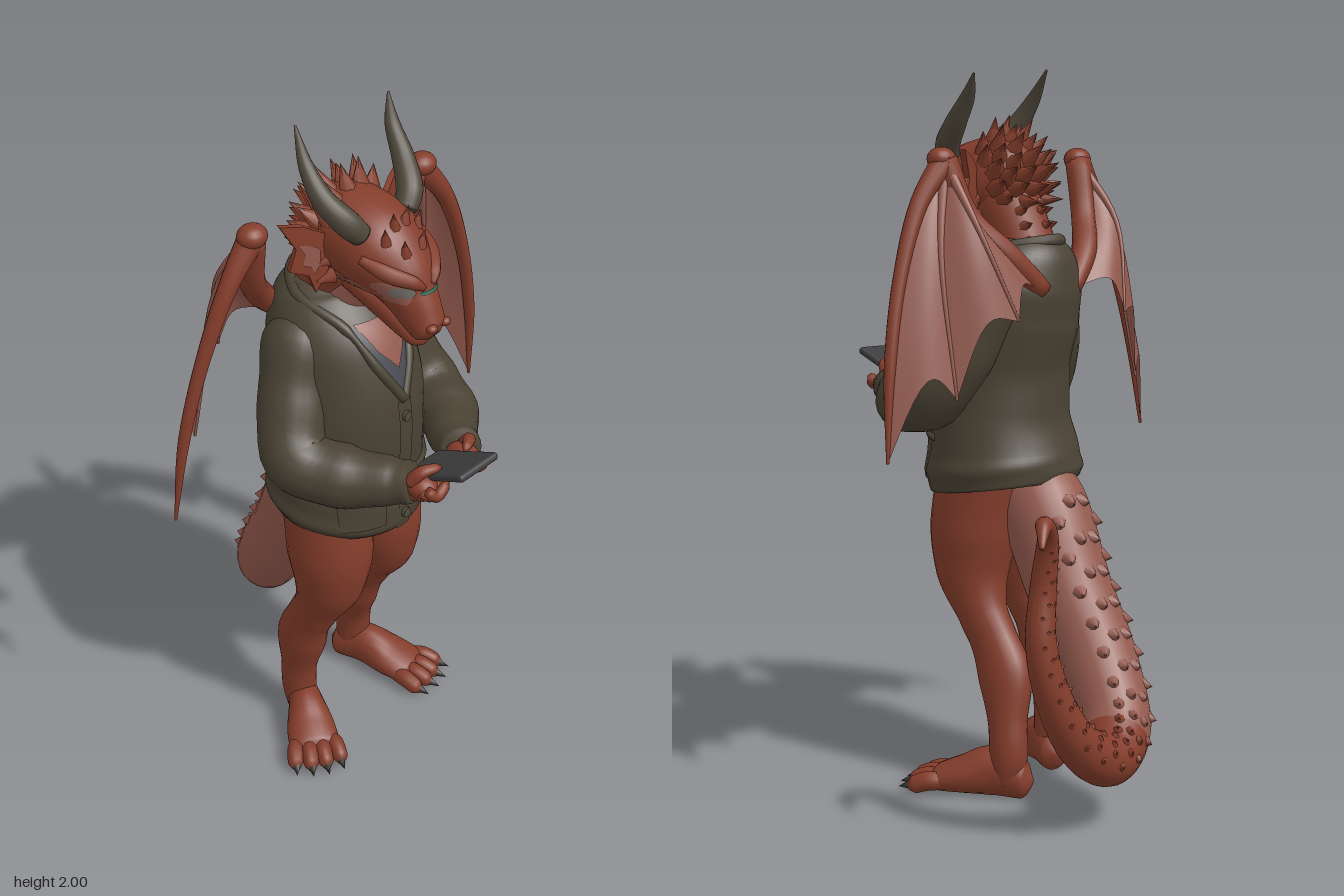
import * as THREE from 'three';
import { RoundedBoxGeometry } from 'three/addons/geometries/RoundedBoxGeometry.js';

const V = (x, y, z) => new THREE.Vector3(x, y, z);
const mat = (name, color, side = THREE.FrontSide) => {
  const m = new THREE.MeshStandardMaterial({ color, side });
  m.name = name;
  return m;
};
const CX = -0.05; // body midline

export function createModel() {
  const root = new THREE.Group();
  root.name = 'dragon';
  const skin = mat('red skin', 0x843d2b);
  const pink = mat('pink membrane', 0x935a4e, THREE.DoubleSide);
  const wool = mat('olive wool', 0x4a4234);
  const horn = mat('horn', 0x4f483b);
  const claw = mat('claw', 0x38362f);
  const device = mat('dark grey', 0x3d3d3f);
  const shirt = mat('shirt grey', 0x474b52);
  const eye = mat('eye grey', 0x6f6a64);
  const teal = mat('teal', 0x2b6657);

  const add = (geo, material, name, parent = root) => {
    const m = new THREE.Mesh(geo, material);
    m.name = name;
    parent.add(m);
    return m;
  };
  const curve = pts => new THREE.CatmullRomCurve3(pts.map(p => V(p[0], p[1], p[2])));

  // Smooth body along rows of [x, y, z, radiusA, radiusB]
  function sweep(rows, material, name, o = {}) {
    const seg = o.seg || 20, n = (rows.length - 1) * (o.sub || 6);
    const path = curve(rows), rad = curve(rows.map(r => [r[3], r[4] ?? r[3], 0]));
    const pos = [], idx = [];
    const A = V(...(o.side || [1, 0, 0])), B = V();
    for (let i = 0; i <= n; i++) {
      const t = i / n, p = path.getPoint(t), r = rad.getPoint(t), T = path.getTangent(t);
      A.addScaledVector(T, -A.dot(T)).normalize();
      B.crossVectors(T, A);
      for (let j = 0; j < seg; j++) {
        const a = j / seg * Math.PI * 2, k = o.ripple ? o.ripple(t, a) : 1;
        const q = p.clone().addScaledVector(A, r.x * k * Math.cos(a)).addScaledVector(B, r.y * k * Math.sin(a));
        pos.push(q.x, q.y, q.z);
      }
    }
    for (let i = 0; i < n; i++) for (let j = 0; j < seg; j++) {
      const a = i * seg + j, b = i * seg + (j + 1) % seg;
      idx.push(a, b, a + seg, b, b + seg, a + seg);
    }
    const body = idx.length, s = pos.length / 3, e = n * seg;
    pos.push(...path.getPoint(0).toArray(), ...path.getPoint(1).toArray());
    for (let j = 0; j < seg; j++) {
      const k = (j + 1) % seg;
      idx.push(s, k, j, s + 1, e + j, e + k);
    }
    const g = new THREE.BufferGeometry();
    g.setAttribute('position', new THREE.Float32BufferAttribute(pos, 3));
    g.setIndex(idx);
    g.computeVertexNormals();
    if (o.split) {
      const cut = Math.round(n * o.split) * seg * 6;
      g.addGroup(0, cut, 0);
      g.addGroup(cut, body + seg * 6 - cut, 1);
    }
    return add(g, material, name, o.parent);
  }

  // Sheet from fn(u, v)
  function sheet(fn, nu, nv, material, name) {
    const pos = [], idx = [];
    for (let i = 0; i <= nv; i++) for (let j = 0; j <= nu; j++) pos.push(...fn(j / nu, i / nv).toArray());
    for (let i = 0; i < nv; i++) for (let j = 0; j < nu; j++) {
      const a = i * (nu + 1) + j, c = a + nu + 1;
      idx.push(a, a + 1, c, a + 1, c + 1, c);
    }
    const g = new THREE.BufferGeometry();
    g.setAttribute('position', new THREE.Float32BufferAttribute(pos, 3));
    g.setIndex(idx);
    g.computeVertexNormals();
    return add(g, material, name);
  }

  // Front surface depth of a mesh, and thin patches laid on it; rows are [y, x0, x1], bottom to top
  const ray = new THREE.Raycaster();
  const front = (mesh, x, y) => {
    ray.set(V(x, y, 2), V(0, 0, -1));
    const hit = ray.intersectObject(mesh)[0];
    return hit ? hit.point.z : 0.05;
  };
  const patch = (rows, mesh, lift, material, name) => sheet((u, v) => {
    const f = v * (rows.length - 1), i = Math.min(Math.floor(f), rows.length - 2), k = f - i;
    const [y, x0, x1] = rows[i].map((c, q) => c + (rows[i + 1][q] - c) * k);
    const x = x0 + (x1 - x0) * u;
    return V(x, y, front(mesh, x, y) + lift);
  }, 8, (rows.length - 1) * 5, material, name);

  const spike = (p, dir, r, h, material, name, parent) => {
    const m = add(new THREE.ConeGeometry(r, h, 7).translate(0, h * 0.4, 0), material, name, parent);
    m.position.copy(p);
    m.quaternion.setFromUnitVectors(V(0, 1, 0), dir.clone().normalize());
    return m;
  };
  const ball = (p, s, material, name, parent) => {
    const m = add(new THREE.SphereGeometry(1, 18, 12), material, name, parent);
    m.position.set(...p);
    m.scale.set(...s);
    return m;
  };

  // Sweater
  const torso = sweep([[CX, .85, .035, .218, .208], [CX, .89, .04, .232, .218], [CX, .94, .045, .225, .208],
    [CX, 1.05, .055, .208, .193], [CX, 1.2, .055, .205, .195], [CX, 1.34, .015, .2, .188],
    [CX, 1.43, -.02, .185, .165], [CX, 1.5, -.04, .145, .13], [CX, 1.54, -.045, .095, .09]], wool, 'sweater',
  { seg: 36, ripple: (t, a) => 1 + .012 * Math.sin(t * 34 + 2 * Math.cos(a)) * (1 - t) });
  patch([[1.25, CX, CX], [1.35, -.11, .01], [1.46, -.14, .045]], torso, .004, shirt, 'shirt');
  patch([[1.34, CX, CX], [1.4, -.1, 0], [1.47, -.13, .035]], torso, .008, pink, 'bare chest');
  const edge = s => [[1.25, 0], [1.36, .062], [1.46, .098]].map(([y, d]) =>
    [CX + s * d, y, front(torso, CX + s * d, y) + .002, .014]);
  sweep([...edge(-1), [CX - .115, 1.515, -.03, .016], [CX, 1.535, -.13, .018], [CX + .115, 1.515, -.03, .016],
    ...edge(1).reverse()], wool, 'collar', { seg: 10, side: [0, 0, 1] });
  patch([[.83, -.075, -.025], [1.25, -.075, -.025]], torso, .005, wool, 'button band');
  for (const y of [.88, .98, 1.2]) {
    const b = add(new THREE.CylinderGeometry(.015, .015, .01, 14).rotateX(Math.PI / 2), horn, 'button');
    b.position.set(CX, y, front(torso, CX, y) + .006);
  }
  for (const s of [-1, 1]) {
    const x = CX + s * .125;
    patch([[.87, x - .055, x + .055], [.99, x - .06, x + .06]], torso, .006, wool, 'pocket');
    sweep([-.062, 0, .062].map(d => [x + d, .99, front(torso, x + d, .99) + .002, .01]), wool, 'pocketEdge',
      { seg: 8, side: [0, 1, 0] });
  }

  // Sleeves, hands and held device
  const fold = { ripple: t => 1 + .025 * Math.sin(t * 40) };
  const arms = { right: [[-.13, 1.44, -.03, .05], [-.175, 1.385, -.01, .1], [-.24, 1.25, .025, .095], [-.298, 1.12, .09, .093],
    [-.25, 1.09, .21, .086], [-.195, 1.1, .32, .066], [-.17, 1.11, .38, .055]],
  left: [[.06, 1.44, -.03, .05], [.12, 1.385, -.01, .1], [.165, 1.25, .03, .095], [.2, 1.12, .11, .093],
    [.155, 1.09, .23, .086], [.07, 1.1, .32, .066], [.03, 1.11, .38, .055]] };
  for (const side in arms) {
    sweep(arms[side], wool, side + 'Sleeve', fold);
    const s = side === 'right' ? -1 : 1, hx = s < 0 ? -.165 : .0;
    ball([hx + s * .005, 1.115, .405], [.04, .034, .05], skin, side + 'Palm');
    for (let i = 0; i < 4; i++) {
      const z = .385 + i * .022, y = 1.1 + i * .01;
      sweep([[hx + s * .03, y, z, .014], [hx + s * .01, y - .022, z + .012, .016], [hx - s * .025, y - .01, z + .01, .014],
        [hx - s * .04, y, z + .005, .006]], skin, side + 'Finger', { seg: 8, sub: 3, side: [0, 0, 1] });
    }
    sweep([[hx + s * .03, 1.13, .39, .02], [hx + s * .015, 1.165, .415, .018], [hx - s * .02, 1.17, .435, .013],
      [hx - s * .035, 1.168, .44, .004]], skin, side + 'Thumb', { seg: 10, side: [0, 0, 1] });
  }
  const phone = add(new RoundedBoxGeometry(.145, .022, .225, 3, .01), device, 'handheldDevice');
  phone.position.set(-.092, 1.15, .44);
  phone.rotation.set(-.45, -.05, 0);

  // Pelvis, legs, feet
  ball([CX, .87, .04], [.19, .12, .15], skin, 'pelvis');
  const legs = { right: [[-.15, .9, .05, .11, .13], [-.158, .74, .075, .115, .13], [-.165, .61, .075, .093, .108],
    [-.172, .5, .04, .064, .072], [-.172, .43, .005, .058, .07], [-.165, .34, -.03, .063, .08], [-.16, .21, -.05, .05, .056],
    [-.155, .12, -.055, .05, .054], [-.15, .05, -.05, .045]],
  left: [[.05, .9, .05, .11, .13], [.055, .74, .07, .115, .13], [.07, .61, .065, .093, .108],
    [.088, .5, .02, .066, .072], [.093, .43, -.02, .058, .07], [.105, .34, -.065, .062, .08], [.135, .21, -.095, .05, .056],
    [.145, .12, -.105, .05, .054], [.14, .05, -.1, .045]] };
  for (const side in legs) {
    sweep(legs[side], skin, side + 'Leg', { seg: 24 });
    const foot = new THREE.Group(), right = side === 'right';
    foot.name = side + 'Foot';
    foot.position.set(right ? -.15 : .14, 0, right ? -.045 : -.1);
    foot.rotation.y = right ? -.64 : .25;
    foot.scale.set(.88, 1, right ? .9 : .95);
    root.add(foot);
    const o = { parent: foot };
    sweep([[0, .055, -.075, .01], [0, .056, -.05, .05, .052], [0, .075, .04, .058, .07], [0, .056, .14, .082, .052],
      [0, .042, .21, .084, .036], [0, .035, .235, .05, .015]], skin, 'sole', o);
    for (let i = 0; i < 4; i++) {
      const x = -.069 + i * .046, l = .02 * Math.cos(x * 20);
      sweep([[x * .8, .04, .17, .02], [x, .044, .22 + l, .028], [x * 1.1, .032, .26 + l, .026], [x * 1.1, .024, .28 + l, .012]],
        skin, 'toe', { seg: 12, parent: foot });
      spike(V(x * 1.1, .03, .272 + l), V(x, -.12, .6), .017, .045, claw, 'claw', foot);
    }
  }

  // Tail with rows of scales
  const tailRows = [[CX, .9, -.03, .1], [-.03, .78, -.11, .125], [0, .58, -.21, .118], [.03, .4, -.32, .11], [.1, .25, -.42, .096],
    [.21, .2, -.46, .078], [.33, .26, -.45, .06], [.415, .4, -.425, .048], [.445, .55, -.405, .04], [.425, .7, -.4, .034],
    [.445, .82, -.425, .027], [.51, .865, -.455, .022], [.565, .82, -.485, .007]];
  sweep(tailRows, [pink, skin], 'tail', { seg: 24, split: .36 });
  const tailPath = curve(tailRows), tailRad = curve(tailRows.map(r => [r[3], 0, 0]));
  for (let i = 0; i < 20; i++) for (const k of [-1.5, -.5, .5, 1.5]) {
    const t = .09 + i * .037 + (Math.abs(k) > 1 ? .018 : 0), T = tailPath.getTangent(t), r = tailRad.getPoint(t).x;
    const n = V(.15, .6, -1);
    n.addScaledVector(T, -n.dot(T)).normalize().applyAxisAngle(T, k * .42);
    spike(tailPath.getPoint(t).addScaledVector(n, r * .95), n.clone().addScaledVector(T, .6),
      r * .2, r * .27, t < .36 ? pink : skin, 'tailScale');
  }

  // Neck and head
  sweep([[CX, 1.42, -.05, .1], [CX, 1.54, -.01, .092], [CX, 1.64, .04, .1], [CX, 1.72, .07, .08]], skin, 'neck');
  sweep([[CX, 1.4, .02, .075], [CX, 1.5, .045, .075], [CX, 1.57, .1, .062]], pink, 'throat');
  const head = sweep([[CX, 1.69, -.045, .02], [CX, 1.7, -.01, .09, .095], [CX, 1.7, .06, .118, .12], [CX, 1.68, .15, .122, .115],
    [CX, 1.63, .22, .096, .092], [CX, 1.575, .265, .066, .07], [CX, 1.53, .3, .054, .058], [CX, 1.5, .328, .046, .044],
    [CX, 1.49, .34, .018, .018]], skin, 'head', { seg: 28 });
  sweep([[CX, 1.59, .1, .08, .055], [CX, 1.54, .19, .065, .052], [CX, 1.49, .26, .048, .038], [CX, 1.465, .295, .036, .026],
    [CX, 1.458, .312, .01]], skin, 'jaw');
  for (const s of [-1, 1]) {
    const at = (d, y, r, lift = 0) => [CX + s * d, y, front(head, CX + s * d, y) + lift, r];
    const strip = (rows, lift, m, name) => patch(rows.map(([y, d, w]) =>
      [y, CX + s * d - w, CX + s * d + w]), head, lift, m, name);
    strip([[1.585, .066, .008], [1.6, .07, .02], [1.635, .07, .03], [1.645, .074, .02]], .003, pink, 'eyelid');
    strip([[1.606, .063, .012], [1.62, .063, .022], [1.634, .063, .016]], .006, eye, 'eye');
    sweep([at(.016, 1.625, .008), at(.04, 1.645, .018), at(.08, 1.668, .022), at(.112, 1.7, .012)], skin, 'brow', { seg: 10, side: [0, 1, 0] });
    ball(at(.026, 1.525, 0).slice(0, 3), [.016, .012, .014], skin, 'nostril');
    for (const [d, y] of [[.03, 1.71], [.06, 1.74], [.02, 1.765]])
      spike(V(...at(d, y, 0, -.004)), V(s * .2, 1, .1), .016, .05, skin, 'browSpike');
    // Horns
    const tip = s < 0 ? [-.17, 2, -.02, .003] : [.155, 1.98, 0, .003];
    sweep([[CX + s * .085, 1.75, .165, .03], [CX + s * .118, 1.79, .15, .035], [CX + s * .15, 1.85, .1, .03],
      [CX + s * .16 + .01, 1.92, .045, .02], tip], horn, 'horn', { seg: 16 });
    // Finned ears
    const fin = k => new THREE.Shape([[0, -.04], [.035, -.1], [.055, -.045], [.11, -.02], [.09, .04], [.135, .115], [.07, .1], [0, .06]]
      .map(([x, y]) => new THREE.Vector2(s * (.045 + (x - .045) * k), y * k)));
    const ear = new THREE.Group();
    ear.name = 'ear';
    ear.position.set(CX + s * .1, 1.665, .06);
    ear.rotation.y = s * .35;
    root.add(ear);
    add(new THREE.ExtrudeGeometry(fin(1), { depth: .016, bevelEnabled: false }), skin, 'earFin', ear);
    add(new THREE.ShapeGeometry(fin(.45)), pink, 'innerEar', ear).position.z = .019;
    for (const y of [1.6, 1.65])
      spike(V(CX + s * .095, y, .07), V(s, -.1, -.3), .025, .07, skin, 'cheekSpike');
  }
  patch([[1.612, CX - .03, CX + .03], [1.621, CX - .034, CX + .034]], head, .008, teal, 'noseStripe');
  // Crest and scalp spikes, swept back
  for (let i = 0; i < 7; i++) for (let j = -2; j <= 2; j++) {
    const b = .05 + i * .34, a = (j + (i % 2) * .5 - .25) * .42;
    const n = V(Math.sin(a), Math.cos(a) * Math.cos(b), -Math.cos(a) * Math.sin(b));
    const h = .075 + .03 * Math.cos(a * 1.5) * (.6 + .5 * Math.sin(i * 5 + j * 3));
    spike(V(CX, 1.69, .065).addScaledVector(n, .108), n.clone().add(V(0, .45, -.4)), .032, h, skin, 'scalpSpike');
  }
  for (let i = 0; i < 3; i++) for (const d of [-.055, 0, .055])
    spike(V(CX + d, 1.61 - i * .04, -.06 - i * .015 + Math.abs(d) * .4), V(d * 4, .3, -1), .024, .05, skin, 'neckSpike');

  // Wings
  for (const s of [-1, 1]) {
    const map = p => s < 0 ? p : [-.08 - p[0], p[1], p[2] + .3 * (-.1 - p[0]), ...p.slice(3)];
    const knob = [-.32, 1.75, -.03];
    const lines = [
      [[...knob, .036], [-.405, 1.64, -.035, .025], [-.485, 1.45, -.055, .019], [-.542, 1.22, -.08, .016], [-.57, .97, -.1, .004]],
      [[...knob, .016], [-.4, 1.5, -.1, .008], [-.42, 1.13, -.17, .004]],
      [[...knob, .016], [-.335, 1.58, -.15, .008], [-.27, 1.33, -.22, .004]],
      [[...knob, .036], [-.285, 1.6, -.07, .034], [-.21, 1.5, -.12, .036], [-.11, 1.4, -.14, .03]]].map(l => l.map(map));
    lines.forEach((l, i) => sweep(l, i % 3 ? pink : skin, i === 3 ? 'wingArm' : 'wingFinger', { seg: 12, side: [0, 0, 1] }));
    ball(map([-.325, 1.755, -.025]), [.042, .032, .038], skin, 'wingKnuckle');
    for (let i = 0; i < 3; i++) {
      const a = curve(lines[i]), b = curve(lines[i + 1]);
      sheet((u, v) => {
        const t = v * (1 - .15 * Math.sin(Math.PI * u));
        const p = a.getPoint(t).lerp(b.getPoint(t), u);
        p.z -= .025 * Math.sin(Math.PI * u) * v;
        return p;
      }, 10, 12, pink, 'wingMembrane');
    }
  }
  return root;
}
